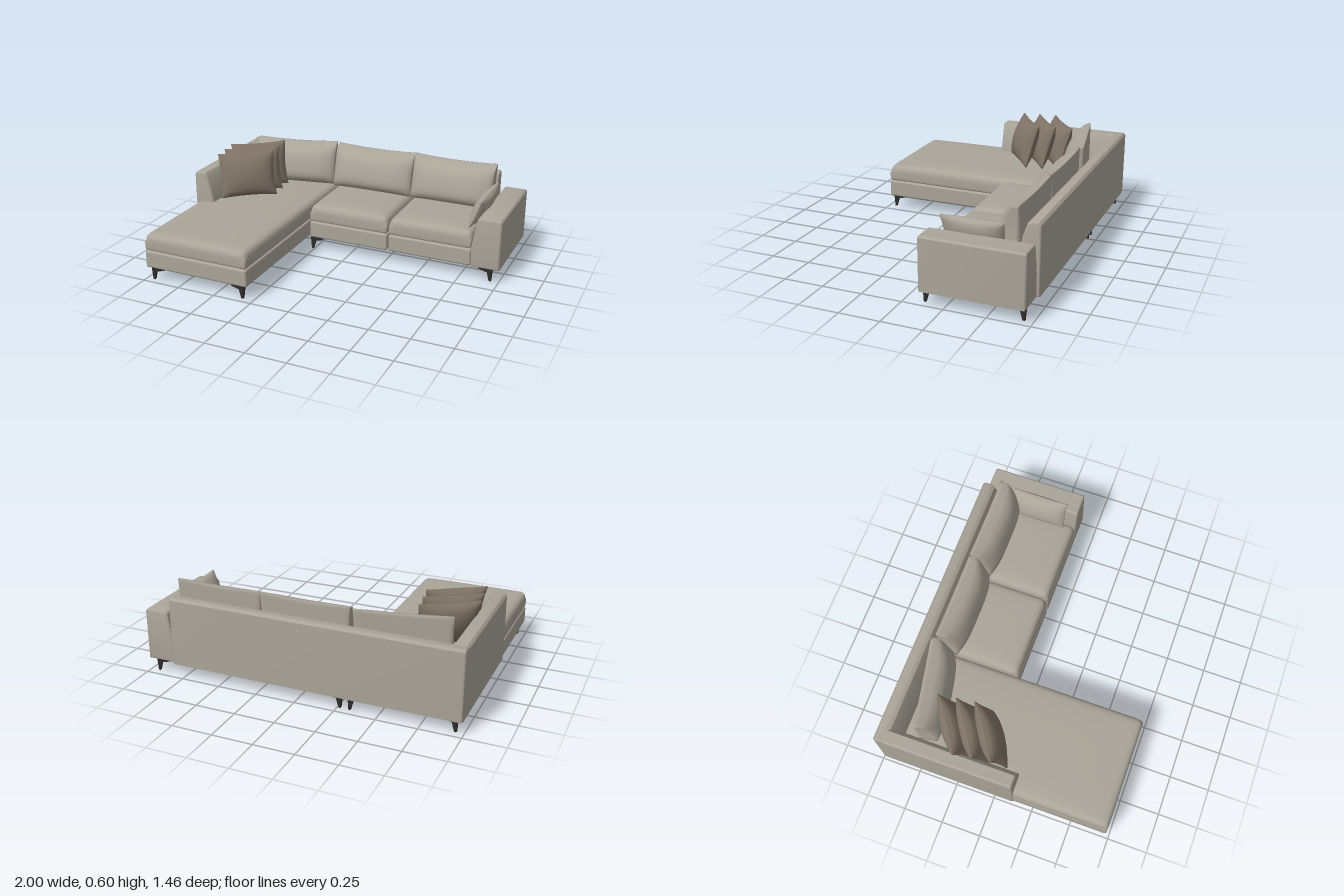
import * as THREE from 'three';
import { mergeVertices, toCreasedNormals } from 'three/addons/utils/BufferGeometryUtils.js';
import { RoundedBoxGeometry } from 'three/addons/geometries/RoundedBoxGeometry.js';

const mat = (name, color) => Object.assign(new THREE.MeshStandardMaterial({ color }), { name });

// Moves every vertex of a subdivided 2x2x2 box by a rule (u, v, s in -1..1) and smooths it
function shaped(nx, ny, nz, rule) {
  const g = new THREE.BoxGeometry(2, 2, 2, nx, ny, nz);
  g.deleteAttribute('uv');
  g.deleteAttribute('normal');
  const p = g.attributes.position;
  for (let i = 0; i < p.count; i++) p.setXYZ(i, ...rule(p.getX(i), p.getY(i), p.getZ(i)));
  const m = mergeVertices(g, 1e-5);
  m.computeVertexNormals();
  return m;
}

// Seat cushion: rounded edges and a gently crowned top
function seatGeometry(w, h, d, r, crown) {
  const half = [w / 2, h / 2, d / 2];
  const ease = t => Math.sin(t * Math.PI / 2);
  return shaped(28, 10, 28, (...t) => {
    const rr = t[1] > 0 ? r : r * 0.4;
    const q = t.map((c, i) => ease(c) * half[i]);
    const inner = q.map((c, i) => THREE.MathUtils.clamp(c, rr - half[i], half[i] - rr));
    const off = q.map((c, i) => c - inner[i]);
    const len = Math.hypot(...off) || 1;
    const out = inner.map((c, i) => c + off[i] / len * rr);
    const a = out[0] / half[0], b = out[2] / half[2];
    if (t[1] > 0) out[1] += crown * t[1] * (1 - a ** 4) * (1 - b ** 4);
    return out;
  });
}

// Back cushion: upright rear, thin top edge, full belly in front
function backCushionGeometry(w, h) {
  return shaped(22, 18, 6, (u, v, s) => {
    const t = (1 - v) / 2;
    const depth = 0.018 + 0.115 * t ** 0.45 * (1 - 0.2 * t ** 8) + 0.042 * (1 - u ** 4) * (1 - v ** 4);
    const x = u * w / 2 * (1 - 0.025 * (1 - v * v));
    const y = h * (v + 1) / 2 - 0.01 * (1 - u * u) * Math.max(v, 0);
    return [x, y, depth * (s + 1) / 2];
  });
}

// Scatter pillow: pinched sides, pointed corners, lens-shaped section
function pillowGeometry(w, h, d, pinch) {
  return shaped(20, 20, 2, (u, v, s) => {
    const belly = Math.pow(Math.max(0, (1 - u * u) * (1 - v * v)), 0.55);
    return [
      u * w / 2 * (1 - pinch * (1 - v * v)),
      v * h / 2 * (1 - pinch * (1 - u * u)),
      s * (0.005 + belly * d / 2)
    ];
  });
}

// Upholstered panel: a profile pulled along its length with softened edges
function panelGeometry(points, length, b = 0.012) {
  const shape = new THREE.Shape(points.map(p => new THREE.Vector2(...p)));
  const g = new THREE.ExtrudeGeometry(shape, {
    depth: length - 2 * b, bevelEnabled: true, bevelSize: b, bevelThickness: b,
    bevelOffset: -b, bevelSegments: 3
  });
  g.translate(0, 0, b);
  return toCreasedNormals(g, 0.6);
}

export function createModel() {
  const model = new THREE.Group();
  model.name = 'cornerSofa';
  const fabric = mat('greyFabric', 0xaaa599);
  const brown = mat('brownFabric', 0x7f7366);
  const metal = mat('darkMetal', 0x2f2c2a);

  const add = (name, geometry, material, x = 0, y = 0, z = 0) => {
    const m = new THREE.Mesh(geometry, material);
    m.name = name;
    m.position.set(x, y, z);
    m.rotation.order = 'YXZ';
    model.add(m);
    return m;
  };

  // Bases and seat cushions: [name, x0, x1, z0, z1]
  for (const [name, x0, x1, z0, z1] of [
    ['chaise', -0.99, -0.285, -0.70, 0.73],
    ['middleSeat', -0.278, 0.266, -0.70, -0.10],
    ['leftSeat', 0.274, 0.818, -0.70, -0.10]
  ]) {
    const w = x1 - x0, d = z1 - z0, x = (x0 + x1) / 2, z = (z0 + z1) / 2;
    add(name + 'Base', new RoundedBoxGeometry(w, 0.113, d, 3, 0.014), fabric, x, 0.1385, z);
    add(name + 'Cushion', seatGeometry(w, 0.108, d, 0.042, 0.014), fabric, x, 0.25, z);
  }

  // Long back rest with sloped inner face
  const back = add('backRest', panelGeometry([
    [0.735, 0.08], [0.735, 0.495], [0.722, 0.51], [0.68, 0.51], [0.657, 0.495],
    [0.63, 0.42], [0.61, 0.31], [0.61, 0.08]
  ], 1.815), fabric, -0.995);
  back.rotation.y = Math.PI / 2;

  // Tall arm beside the chaise
  add('chaiseArm', panelGeometry([
    [-0.995, 0.08], [-0.86, 0.08], [-0.86, 0.31], [-0.905, 0.495], [-0.918, 0.51],
    [-0.982, 0.51], [-0.995, 0.495]
  ], 0.86), fabric, 0, 0, -0.73);

  // Low wide arm
  add('lowArm', panelGeometry([
    [0.818, 0.08], [1, 0.08], [1, 0.395], [0.99, 0.405], [0.862, 0.405], [0.85, 0.395], [0.818, 0.22]
  ], 0.62), fabric, 0, 0, -0.72);

  // Back cushions: [x, z, width, yaw]
  for (const [x, z, w, yaw] of [
    [-0.588, -0.575, 0.56, 0.2], [-0.008, -0.612, 0.56, 0], [0.548, -0.612, 0.55, 0]
  ]) add('backCushion', backCushionGeometry(w, 0.275), fabric, x, 0.312, z).rotation.y = yaw;

  // Row of brown scatter pillows leaning into the corner
  for (let i = 0; i < 3; i++) {
    const p = add('scatterPillow', pillowGeometry(0.37, 0.295, 0.13, 0.06), brown,
      -0.73 - 0.015 * i, 0.458, -0.095 - 0.11 * i);
    p.rotation.set(-0.3, 0.6, 0.02);
  }

  // Small lumbar pillow leaning on the low arm
  const lumbar = add('lumbarPillow', pillowGeometry(0.37, 0.19, 0.085, 0.03), fabric, 0.815, 0.4, -0.355);
  lumbar.rotation.set(-0.38, -Math.PI / 2, 0);

  // Legs: two crossed tapering fins with brackets pointing inwards
  const finShape = new THREE.Shape([
    [-0.012, 0.084], [0.075, 0.084], [0.075, 0.07], [0.022, 0.056], [0.007, 0], [-0.005, 0]
  ].map(p => new THREE.Vector2(...p)));
  const fin = new THREE.ExtrudeGeometry(finShape, { depth: 0.014, bevelEnabled: false });
  fin.translate(0, 0, -0.007);
  const H = Math.PI / 2;
  for (const [x, z, turn] of [
    [-0.95, 0.705, 1], [-0.325, 0.705, 2], [-0.95, -0.695, 0], [-0.325, -0.695, 3],
    [-0.265, -0.12, 1], [0.945, -0.12, 2], [-0.265, -0.695, 0], [0.945, -0.695, 3]
  ]) {
    add('leg', fin, metal, x, 0, z).rotation.y = turn * H;
    add('legBracket', fin, metal, x, 0, z).rotation.y = (turn - 1) * H;
  }
  return model;
}
